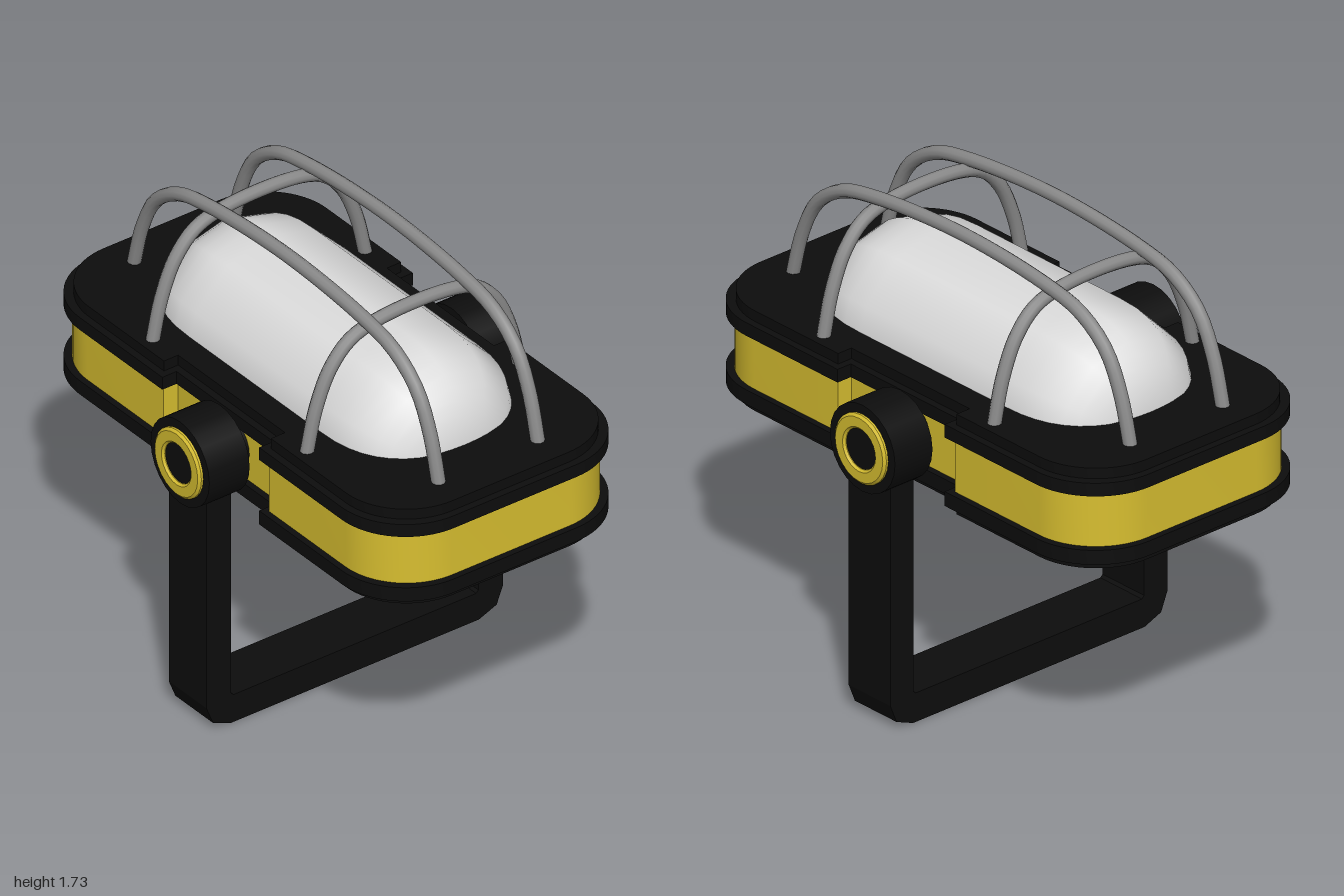
import * as THREE from 'three';
import { toCreasedNormals } from 'three/addons/utils/BufferGeometryUtils.js';

const V = (x, y, z) => new THREE.Vector3(x, y, z);

export function createModel() {
  const model = new THREE.Group();
  model.name = 'workLamp';
  const paint = (name, color) => {
    const m = new THREE.MeshStandardMaterial({ color });
    m.name = name;
    return m;
  };
  const black = paint('black rubber', 0x0d0d0d);
  const yellow = paint('yellow housing', 0xd8bf30);
  const grey = paint('grey wire', 0x8a8a8a);
  const white = paint('frosted glass', 0xdcdcdc);

  const add = (name, geometry, material, parent = model) => {
    const mesh = new THREE.Mesh(geometry, material);
    mesh.name = name;
    parent.add(mesh);
    return mesh;
  };

  // Rounded rectangle with a shallow notch in each long side, inset by d
  const outline = (d) => {
    const w = 0.53 - d, l = 1 - d, r = 0.27 - d * 0.5;
    const nw = 0.47 - d, nl = 0.27 + d;
    const s = new THREE.Shape();
    s.moveTo(w, nl);
    s.lineTo(w, l - r);
    s.absarc(w - r, l - r, r, 0, Math.PI / 2);
    s.lineTo(-w + r, l);
    s.absarc(-w + r, l - r, r, Math.PI / 2, Math.PI);
    s.lineTo(-w, nl);
    s.lineTo(-nw, nl);
    s.lineTo(-nw, -nl);
    s.lineTo(-w, -nl);
    s.lineTo(-w, -l + r);
    s.absarc(-w + r, -l + r, r, Math.PI, Math.PI * 1.5);
    s.lineTo(w - r, -l);
    s.absarc(w - r, -l + r, r, Math.PI * 1.5, Math.PI * 2);
    s.lineTo(w, -nl);
    s.lineTo(nw, -nl);
    s.lineTo(nw, nl);
    return s;
  };
  const slab = (name, inset, y0, y1, material) => {
    const g = new THREE.ExtrudeGeometry(outline(inset), {
      depth: y1 - y0, bevelEnabled: false, curveSegments: 8,
    });
    g.rotateX(-Math.PI / 2).translate(0, y0, 0);
    add(name, toCreasedNormals(g, 0.6), material);
  };

  // Housing: yellow band between two stepped black trims
  slab('housingBand', 0.024, 0.94, 1.16, yellow);
  slab('upperTrim', 0, 1.15, 1.2, black);
  slab('topPlate', 0.028, 1.2, 1.24, black);
  slab('lowerTrim', 0, 0.89, 0.945, black);
  slab('bottomPlate', 0.028, 0.86, 0.89, black);

  // Glass cover: upper half of a twelve-sided capsule with squarish ends
  const R = 0.37, straight = 0.36, cap = [];
  for (let i = 0; i <= 10; i++) {
    const a = (i / 10) * Math.PI / 2;
    cap.push([R * Math.pow(Math.cos(a), 0.8), straight + R * Math.pow(Math.sin(a), 0.8)]);
  }
  cap[10][0] = 0;
  const profile = [
    ...cap.map(([r, z]) => new THREE.Vector2(r, -z)).reverse(),
    ...cap.map(([r, z]) => new THREE.Vector2(r, z)),
  ];
  const glass = new THREE.LatheGeometry(profile, 6, Math.PI / 2, Math.PI);
  glass.rotateX(Math.PI / 2).translate(0, 1.145, 0);
  add('glassCover', glass, white);

  // Wire guard: two long bars and two cross bars
  const wire = (name, half, place) => {
    const pts = [
      ...half.map(([u, y]) => place(-u, y)),
      ...half.slice(0, -1).reverse().map(([u, y]) => place(u, y)),
    ];
    const curve = new THREE.CatmullRomCurve3(pts);
    add(name, new THREE.TubeGeometry(curve, 48, 0.025, 10), grey);
  };
  const longBar = [[0.855, 1.21], [0.8, 1.41], [0.725, 1.55], [0.6, 1.64], [0.43, 1.68], [0, 1.71]];
  const crossBar = [[0.455, 1.21], [0.41, 1.4], [0.345, 1.54], [0.25, 1.625], [0, 1.66]];
  for (const s of [-1, 1]) {
    wire('longGuardBar', longBar, (u, y) => V(s * 0.21, y, u));
    wire('crossGuardBar', crossBar, (u, y) => V(u, y, s * 0.43));
  }

  // U-shaped stand with softened lower corners
  const u = new THREE.Shape();
  [
    [-0.525, 0], [0.525, 0], [0.6, 0.03], [0.628, 0.1], [0.628, 1.05], [0.523, 1.05],
    [0.523, 0.12], [0.513, 0.11], [-0.513, 0.11], [-0.523, 0.12], [-0.523, 1.05],
    [-0.628, 1.05], [-0.628, 0.1], [-0.6, 0.03],
  ].forEach(([x, y], i) => (i ? u.lineTo(x, y) : u.moveTo(x, y)));
  const stand = new THREE.ExtrudeGeometry(u, { depth: 0.21, bevelEnabled: false });
  add('stand', stand.translate(0, 0, -0.105), black);

  // Pivot knobs, built along y and turned to face outwards
  for (const s of [-1, 1]) {
    const knob = new THREE.Group();
    knob.name = s > 0 ? 'leftKnob' : 'rightKnob';
    knob.position.set(0, 1.05, 0);
    knob.rotation.z = -s * Math.PI / 2;
    model.add(knob);
    const disc = (name, r, x0, x1) => add(name,
      new THREE.CylinderGeometry(r, r, x1 - x0, 24).translate(0, (x0 + x1) / 2, 0), black, knob);
    disc('pivotShaft', 0.105, 0.43, 0.5);
    disc('knobBody', 0.164, 0.49, 0.66);
    disc('knobCentre', 0.078, 0.65, 0.665);
    const ring = [[0.13, 0.65], [0.13, 0.668], [0.12, 0.676], [0.083, 0.676], [0.075, 0.668], [0.075, 0.65]];
    const ringGeometry = new THREE.LatheGeometry(ring.map(([r, y]) => new THREE.Vector2(r, y)), 24);
    add('knobRing', toCreasedNormals(ringGeometry, 0.5), yellow, knob);
  }
  return model;
}
